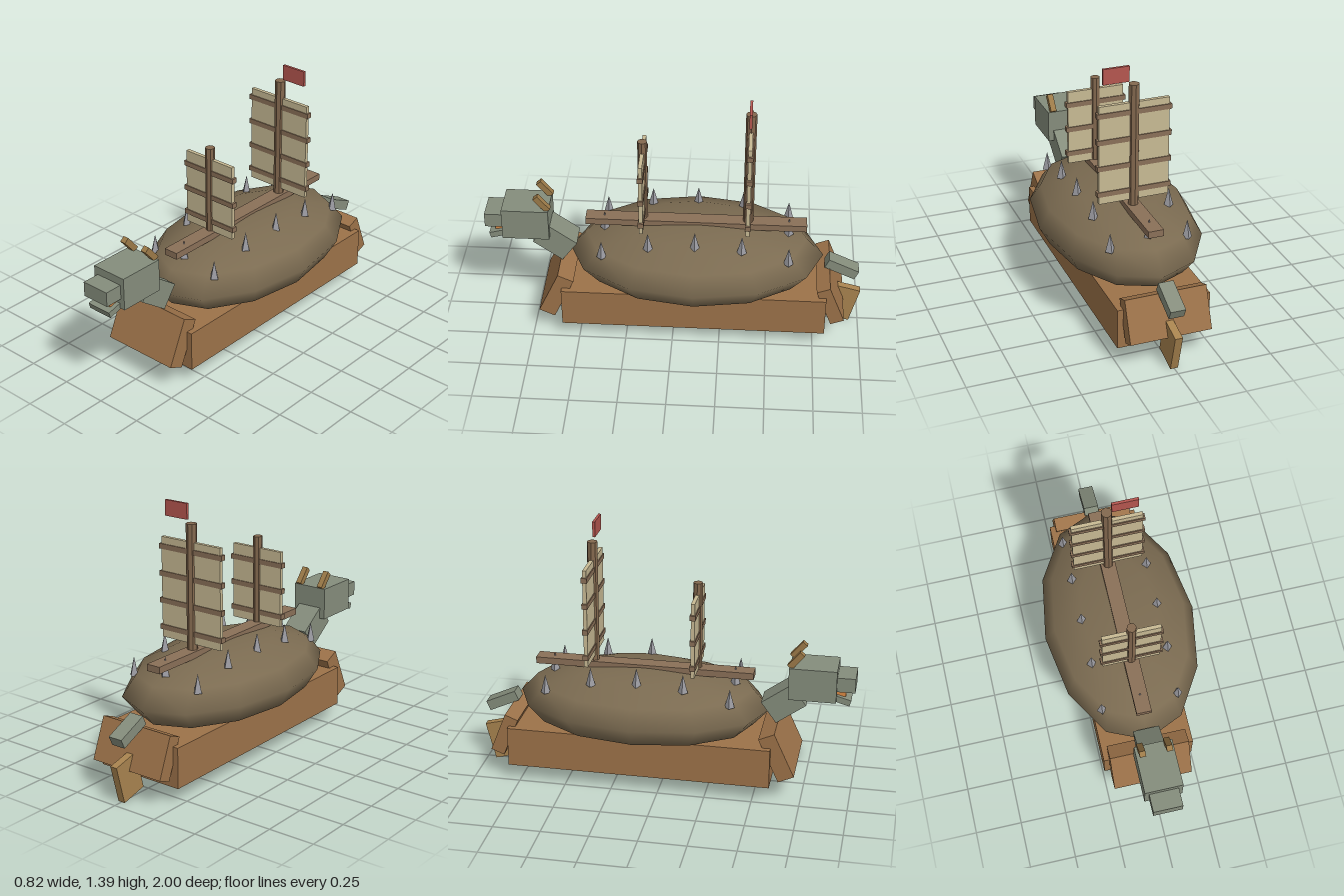
import * as THREE from 'three';

const mat = (color, flatShading = false) => new THREE.MeshStandardMaterial({ color, flatShading });
const WOOD = mat(0x9c7249), DECK = mat(0x8a7058), MAST = mat(0x84694f, true), SHELL = mat(0x7b6b51);
const SAIL = mat(0xc8ba94), FLAG = mat(0xb5564f), SKIN = mat(0x858d7c), RUDDER = mat(0xa8834f);
const HORN = mat(0x9c7a48), FIRE = mat(0xdb8a45), SPIKE = mat(0x9c9ca2, true);

export function createModel() {
  const root = new THREE.Group();

  const add = (name, geometry, material, [x, y, z], tilt = 0) => {
    const mesh = new THREE.Mesh(geometry, material);
    mesh.name = name;
    mesh.position.set(x, y, z);
    mesh.rotation.x = tilt;
    root.add(mesh);
    return mesh;
  };
  const box = (name, size, material, pos, tilt) =>
    add(name, new THREE.BoxGeometry(...size), material, pos, tilt);

  // Hull with slanted bow and stern, and the rudder
  box('hull', [0.49, 0.215, 1.4], WOOD, [0, 0.197, -0.11]);
  box('bow', [0.43, 0.26, 0.09], WOOD, [0, 0.25, 0.62], -0.43);
  box('stern', [0.43, 0.225, 0.075], WOOD, [0, 0.25, -0.835], 0.38);
  box('rudder', [0.04, 0.21, 0.147], RUDDER, [0, 0.123, -0.905], -0.25);

  // Domed shell over the hull
  const shell = { y: 0.43, z: -0.115, rx: 0.41, ry: 0.2, rz: 0.675 };
  add('shell', new THREE.SphereGeometry(1, 12, 6), SHELL, [0, shell.y, shell.z])
    .scale.set(shell.rx, shell.ry, shell.rz);
  box('ridgePlank', [0.08, 0.036, 1.165], DECK, [0, 0.622, -0.112]);

  // Spikes standing on the shell: two side rows, plus one at each end of the ridge
  const spike = (x, z) => {
    const fall = 1 - (x / shell.rx) ** 2 - ((z - shell.z) / shell.rz) ** 2;
    const y = shell.y + shell.ry * Math.sqrt(fall);
    add('spike', new THREE.ConeGeometry(0.026, 0.1, 4), SPIKE, [x, y + 0.04, z]);
  };
  for (let i = -2; i <= 2; i++) {
    const z = shell.z + i * 0.243;
    spike(0.205, z);
    spike(-0.205, z);
    if (Math.abs(i) === 2) spike(0, z);
  }

  // Masts with battened sails
  const rig = (name, z, top, radius, sailW, sailLow, sailHigh, battens) => {
    const low = 0.6;
    add(name + 'Mast', new THREE.CylinderGeometry(radius, radius, top - low, 8), MAST, [0, (top + low) / 2, z]);
    box(name + 'Sail', [sailW, sailHigh - sailLow, 0.02], SAIL, [0, (sailLow + sailHigh) / 2, z]);
    for (const y of battens) box(name + 'Batten', [sailW + 0.022, 0.027, 0.03], DECK, [0, y, z]);
  };
  rig('main', -0.385, 1.295, 0.028, 0.372, 0.67, 1.2, [0.724, 0.866, 1.008, 1.15]);
  rig('fore', 0.168, 1.11, 0.025, 0.308, 0.638, 1.048, [0.695, 0.835, 0.975]);
  box('flag', [0.138, 0.082, 0.014], FLAG, [0.094, 1.35, -0.382]);

  // Head, neck and tail
  box('neck', [0.14, 0.137, 0.19], SKIN, [0, 0.495, 0.634], -0.63);
  box('head', [0.2, 0.175, 0.247], SKIN, [0, 0.624, 0.782]);
  box('snout', [0.155, 0.078, 0.14], SKIN, [0, 0.631, 0.93]);
  box('jaw', [0.14, 0.033, 0.16], SKIN, [0, 0.55, 0.9], 0.27);
  box('flame', [0.094, 0.04, 0.1], FIRE, [0, 0.576, 0.902]);
  for (const side of [-1, 1])
    box('horn', [0.032, 0.1, 0.032], HORN, [side * 0.07, 0.75, 0.692], 0.7);
  box('tail', [0.08, 0.055, 0.177], SKIN, [0, 0.364, -0.893], -0.43);

  return root;
}
